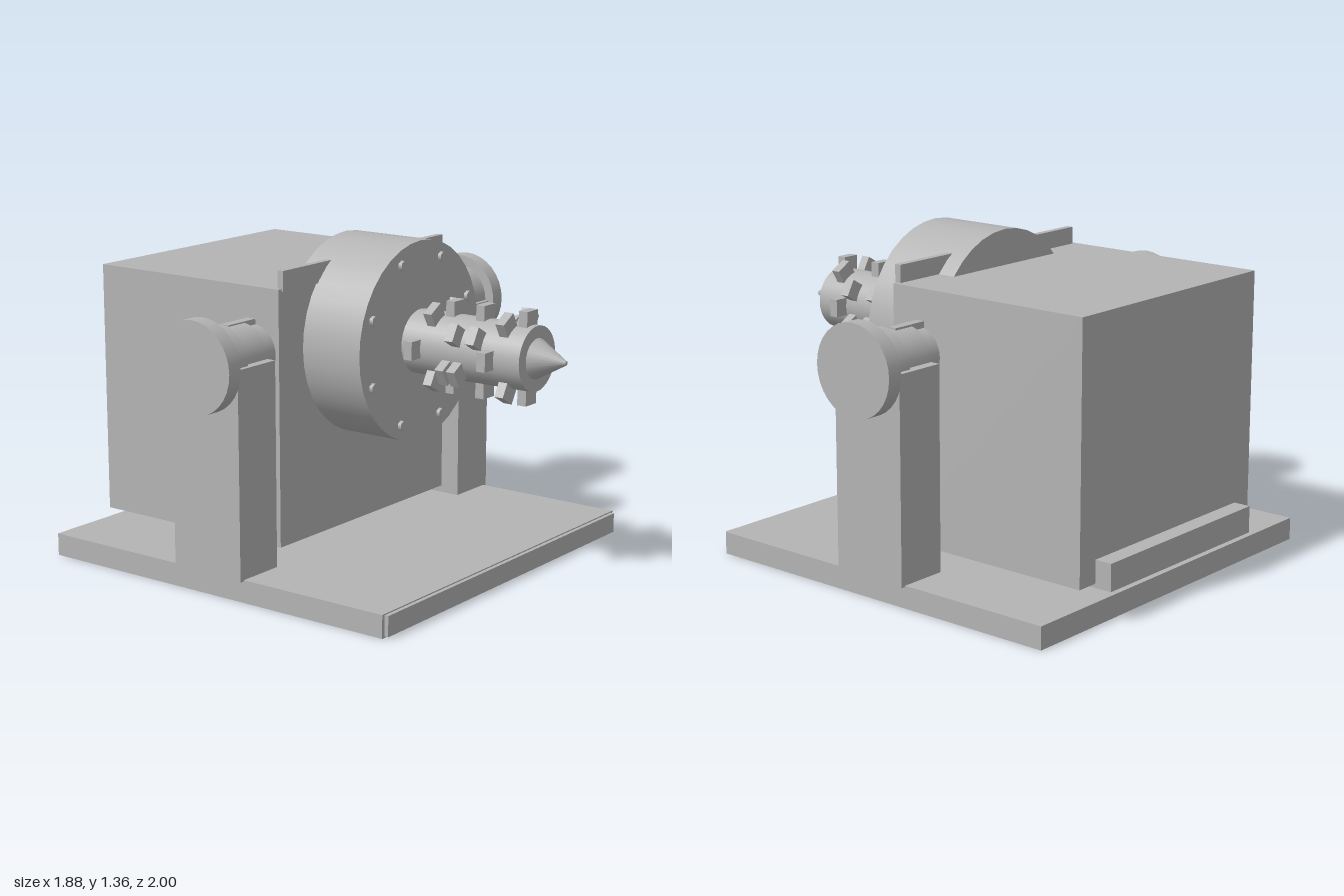
import * as THREE from 'three';

export function createModel() {
  const model = new THREE.Group();
  model.name = 'tiltingDrillHead';
  const steel = new THREE.MeshStandardMaterial({ color: 0xb4b4b4 });
  steel.name = 'steel grey';
  const AXIS_Y = 0.945, PIVOT_Z = -0.11;

  const add = (name, geometry, parent = model) => {
    const mesh = new THREE.Mesh(geometry, steel);
    mesh.name = name;
    parent.add(mesh);
    return mesh;
  };
  // Box given by its extents on each axis
  const box = (name, [x0, x1], [y0, y1], [z0, z1], parent) => {
    const mesh = add(name, new THREE.BoxGeometry(x1 - x0, y1 - y0, z1 - z0), parent);
    mesh.position.set((x0 + x1) / 2, (y0 + y1) / 2, (z0 + z1) / 2);
    return mesh;
  };
  // Round part along z; rFront is the radius at the z1 end
  const roundZ = (name, rBack, rFront, z0, z1, sides = 32, x = 0, y = AXIS_Y) => {
    const g = new THREE.CylinderGeometry(rFront, rBack, z1 - z0, sides).rotateX(Math.PI / 2);
    const mesh = add(name, g);
    mesh.position.set(x, y, (z0 + z1) / 2);
    return mesh;
  };

  // Base plate with a thin front strip
  box('basePlate', [-0.845, 0.845], [0, 0.095], [-0.963, 0.735]);
  box('baseFrontStrip', [-0.83, 0.83], [0.006, 0.09], [0.73, 0.752]);

  // Gear housing and rear ledge
  box('housing', [-0.567, 0.567], [0.15, 1.21], [-0.925, 0.02]);
  box('rearLedge', [-0.47, 0.47], [0.133, 0.247], [-1, -0.81]);

  // Face plate with eight hexagonal bolts
  roundZ('facePlate', 0.415, 0.415, -0.08, 0.303, 36);
  for (let i = 0; i < 8; i++) {
    const a = (i + 0.5) * Math.PI / 4;
    roundZ('bolt', 0.021, 0.021, 0.295, 0.319, 6, 0.357 * Math.cos(a), AXIS_Y + 0.357 * Math.sin(a));
  }

  // Drill shaft and pointed tip
  roundZ('drillShaft', 0.133, 0.133, 0.3, 0.865);
  roundZ('drillTip', 0.083, 0.008, 0.865, 1, 24);

  // Cutting teeth: z positions for every 30 degrees around the shaft
  const teeth = [
    [0.375, 0.725], [0.52, 0.665], [0.425, 0.77], [0.475, 0.62, 0.82],
    [0.425, 0.77], [0.565, 0.665], [0.375, 0.725], [0.52, 0.575],
    [0.425, 0.77], [0.475, 0.62, 0.82], [0.425, 0.77], [0.575, 0.67],
  ];
  teeth.forEach((row, i) => {
    const ring = new THREE.Group();
    ring.name = 'toothRow';
    ring.position.y = AXIS_Y;
    ring.rotation.z = i * Math.PI / 6;
    model.add(ring);
    for (const z of row) box('tooth', [0.11, 0.19], [-0.038, 0.038], [z - 0.02, z + 0.02], ring);
  });

  // Supports and stepped pivots, mirrored left and right
  const pivotSteps = [
    ['pivotShaft', 0.113, 0.55, 0.66],
    ['pivotCollar', 0.13, 0.635, 0.79],
    ['pivotBearing', 0.148, 0.778, 0.885],
    ['pivotCap', 0.19, 0.872, 0.94],
  ];
  for (const s of [-1, 1]) {
    const span = (a, b) => (s > 0 ? [a, b] : [-b, -a]);
    const side = s > 0 ? 'left' : 'right';
    box(side + 'Support', span(0.638, 0.865), [0.09, AXIS_Y], [-0.283, 0.058]);
    for (const [name, r, x0, x1] of pivotSteps) {
      const g = new THREE.CylinderGeometry(r, r, x1 - x0, 32).rotateZ(Math.PI / 2);
      add(side + name, g).position.set(s * (x0 + x1) / 2, AXIS_Y, PIVOT_Z);
    }
    box(side + 'PivotKey', span(0.56, 0.73), [1.03, 1.08], [-0.14, -0.1]);
    // Upright flange beside the face plate
    box(side + 'Flange', span(0.235, 0.547), [1.2, 1.283], [0, 0.028]);
  }

  return model;
}
